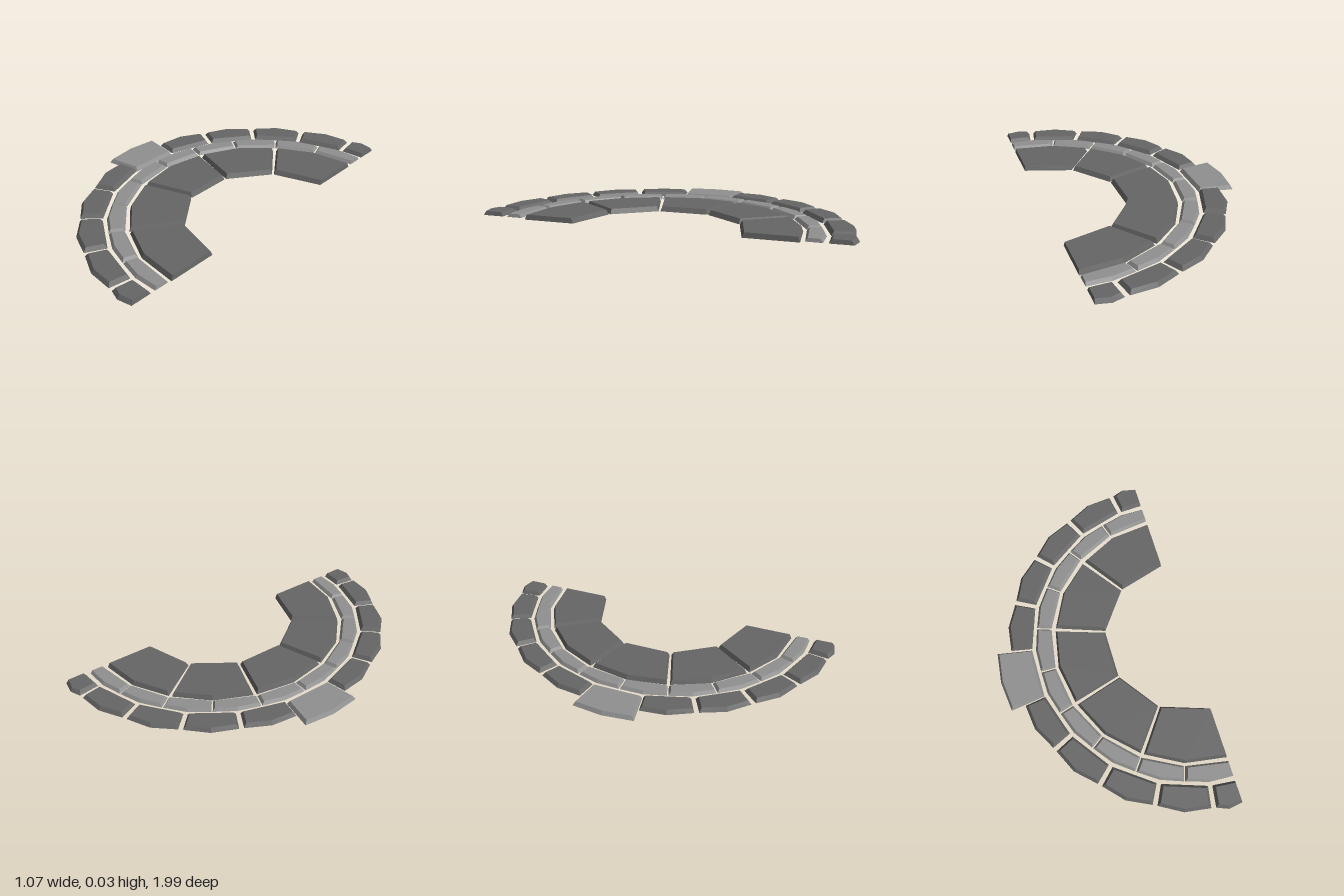
import * as THREE from 'three';
import { ConvexGeometry } from 'three/addons/geometries/ConvexGeometry.js';

const CENTRE_X = 0.53; // centre of all rings
const DEG = Math.PI / 180;

const darkStone = new THREE.MeshStandardMaterial({ color: 0x666666, flatShading: true });
const lightStone = new THREE.MeshStandardMaterial({ color: 0x909090, flatShading: true });

// Point on a ring; angle 0 points to -x, positive towards +z
const polar = (r, a, y) => new THREE.Vector3(CENTRE_X - r * Math.cos(a), y, r * Math.sin(a));

// Wedge-shaped paving stone with a bent outer edge and sides sloping in to the top
function stone(name, material, { inner, corner, mid, bottom, top, bevel, gap }, from, to) {
  const points = [];
  for (const [y, inset] of [[bottom, 0], [top, bevel]]) {
    // Stones end flush where the half circle is cut at +-90 degrees
    const edge = (angle, r, sign) => {
      const cut = Math.abs(angle) === 90;
      return angle * DEG + sign * (cut ? inset * 0.3 / r : gap * DEG + inset / r);
    };
    const r0 = inner + inset, r1 = corner - inset, rm = mid - inset;
    points.push(
      polar(r0, edge(from, r0, 1), y), polar(r1, edge(from, r1, 1), y),
      polar(rm, (from + to) / 2 * DEG, y),
      polar(r1, edge(to, r1, -1), y), polar(r0, edge(to, r0, -1), y));
  }
  const mesh = new THREE.Mesh(new ConvexGeometry(points), material);
  mesh.name = name;
  return mesh;
}

// Row of stones between successive angles
function ring(name, material, size, angles) {
  const group = new THREE.Group();
  group.name = name;
  for (let i = 0; i < angles.length - 1; i++) {
    group.add(stone('stone', material, size, angles[i], angles[i + 1]));
  }
  return group;
}

export function createModel() {
  const model = new THREE.Group();
  model.name = 'halfCirclePaving';

  // Five large inner slabs
  model.add(ring('innerSlabs', darkStone,
    { inner: 0.45, corner: 0.732, mid: 0.738, bottom: 0, top: 0.027, bevel: 0.011, gap: 0.7 },
    [-90, -54, -18, 18, 54, 90]));

  // Narrow light band of ten stones
  model.add(ring('middleBand', lightStone,
    { inner: 0.755, corner: 0.838, mid: 0.845, bottom: 0.007, top: 0.025, bevel: 0.012, gap: 0.25 },
    Array.from({ length: 11 }, (_, i) => -90 + 18 * i)));

  // Outer border on both sides of the keystone
  const border = { inner: 0.865, corner: 0.983, mid: 1.0, bottom: 0.007, top: 0.029, bevel: 0.014, gap: 0.75 };
  const angles = [9, 27, 45, 63, 81, 90];
  model.add(ring('leftBorder', darkStone, border, angles));
  model.add(ring('rightBorder', darkStone, border, angles.map((a) => -a).reverse()));

  // Protruding light stone in the middle of the border
  model.add(stone('keystone', lightStone,
    { inner: 0.867, corner: 1.062, mid: 1.068, bottom: 0, top: 0.022, bevel: 0.012, gap: 0 }, -9.3, 9.3));

  return model;
}
